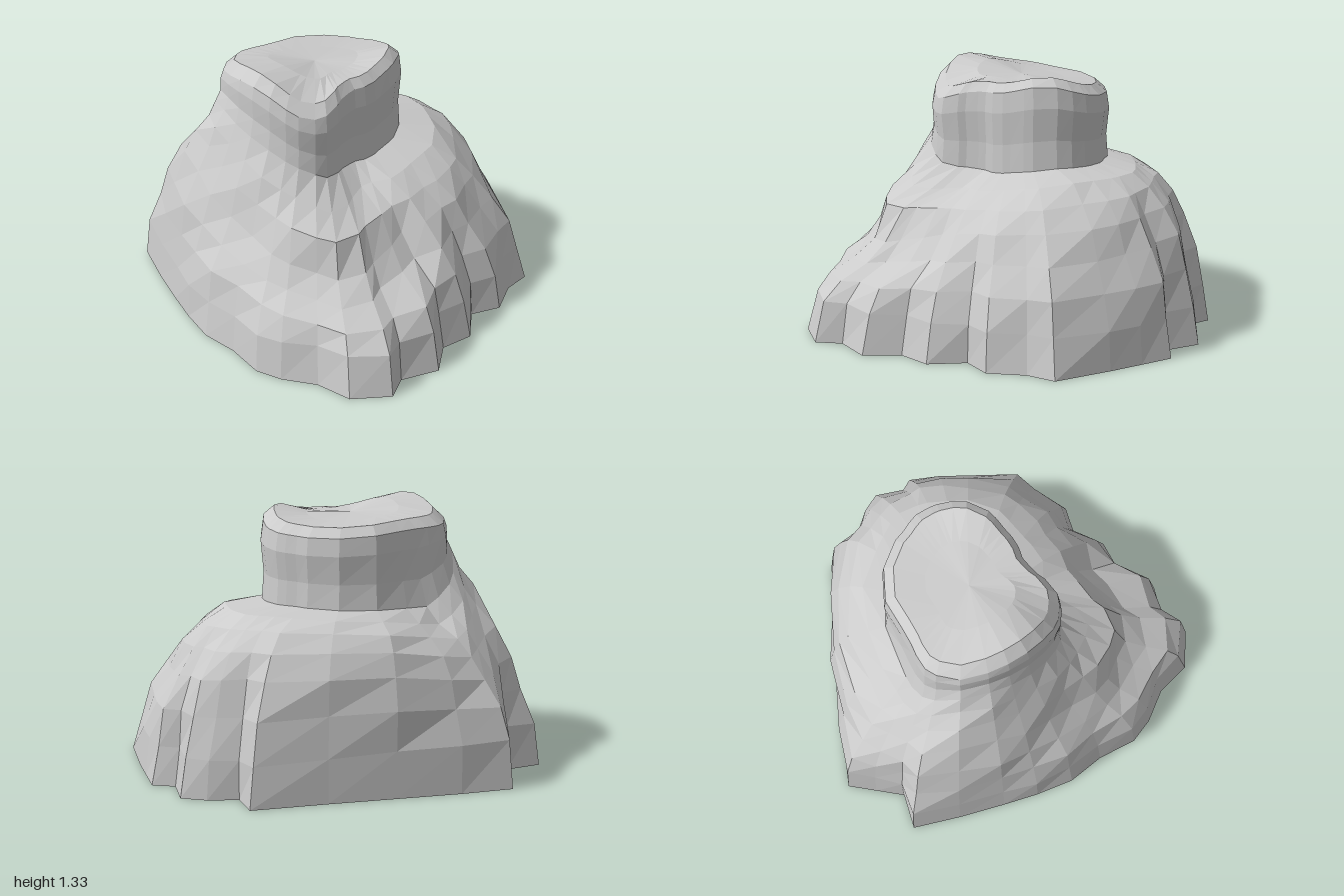
import * as THREE from 'three';

const CX = -0.1, CZ = -0.2, TAU = Math.PI * 2;

// Ground outline (x, z), from +x round past the front
const FOOT = [
  [0.98, -0.2], [1, 0.1], [0.88, 0.19], [0.78, 0.36], [0.62, 0.39], [0.56, 0.58], [0.4, 0.65],
  [0.33, 0.83], [0.13, 0.87], [0.06, 0.99], [-0.15, 0.97], [-0.28, 0.83], [-0.45, 0.75],
  [-0.56, 0.66], [-0.65, 0.47], [-0.77, 0.31], [-0.84, 0.12], [-0.89, -0.06], [-0.95, -0.3],
  [-1, -0.55], [-0.82, -0.6], [-0.79, -0.75], [-0.76, -0.9], [-0.5, -0.93], [-0.18, -0.95],
  [0.15, -0.97], [0.52, -1], [0.55, -0.84], [0.7, -0.82], [0.82, -0.77], [0.83, -0.59],
  [0.94, -0.55], [0.96, -0.38],
];

// Radius of the upper column every 15 degrees
const NECK = [
  0.45, 0.41, 0.36, 0.34, 0.31, 0.33, 0.43, 0.46, 0.46, 0.45, 0.45, 0.45,
  0.47, 0.48, 0.46, 0.4, 0.38, 0.41, 0.42, 0.44, 0.46, 0.46, 0.49, 0.48,
];

// Slope profiles every 45 degrees: [fraction from foot to column, height]
const SLOPE = [
  [[0, 0.01], [0.05, 0.2], [0.12, 0.37], [0.26, 0.51], [0.38, 0.65], [0.52, 0.75], [0.7, 0.83], [1, 0.86]],
  [[0, 0.01], [0.06, 0.2], [0.14, 0.35], [0.26, 0.48], [0.39, 0.6], [0.54, 0.69], [0.74, 0.76], [1, 0.81]],
  [[0, 0.01], [0.06, 0.22], [0.15, 0.3], [0.32, 0.36], [0.45, 0.45], [0.55, 0.63], [0.77, 0.71], [1, 0.82]],
  [[0, 0.01], [0.07, 0.2], [0.18, 0.37], [0.36, 0.47], [0.55, 0.59], [0.69, 0.74], [0.82, 0.88], [0.95, 1.0]],
  [[0, 0.01], [0.07, 0.2], [0.17, 0.4], [0.27, 0.6], [0.47, 0.8], [0.66, 0.93], [0.8, 1.02], [0.91, 1.1]],
  [[0, 0.01], [0.02, 0.25], [0.11, 0.4], [0.23, 0.52], [0.38, 0.62], [0.54, 0.7], [0.71, 0.76], [0.87, 0.84]],
  [[0, 0.01], [0.03, 0.24], [0.08, 0.44], [0.16, 0.6], [0.29, 0.71], [0.48, 0.78], [0.73, 0.82], [0.97, 0.85]],
  [[0, 0.01], [0.04, 0.2], [0.1, 0.4], [0.18, 0.58], [0.3, 0.7], [0.45, 0.79], [0.65, 0.84], [1, 0.86]],
];

const lerp = THREE.MathUtils.lerp;
const bump = (x, z, px, pz, r) => Math.exp(-((x - px) ** 2 + (z - pz) ** 2) / (r * r));
const reach = i => {
  const [x, z] = FOOT[(i + FOOT.length) % FOOT.length];
  return Math.hypot(x - CX, z - CZ);
};

// Interpolates a closed list of values by angle
function around(angle, n, value) {
  const t = ((angle / TAU + 1) % 1) * n, i = Math.floor(t);
  return lerp(value(i % n), value((i + 1) % n), t - i);
}

// Height of the uneven summit, dropping off at the front
function summit(x, z) {
  return 1.26 + 0.08 * bump(x, z, -0.4, -0.02, 0.25) + 0.06 * bump(x, z, 0.32, -0.15, 0.18)
    - 0.02 * bump(x, z, 0.1, -0.6, 0.3) - 0.07 * bump(x, z, -0.2, 0.24, 0.16);
}

// One vertical line of points, running from the ground up to the summit
function buildRib([fx, fz], i) {
  const a = Math.atan2(fz - CZ, fx - CX);
  const r = around(a, NECK.length, j => NECK[j]);
  const foot = reach(i);
  const smoothFoot = (reach(i - 2) + 2 * reach(i - 1) + 2 * foot + 2 * reach(i + 1) + reach(i + 2)) / 8;
  const point = (rad, y) => new THREE.Vector3(CX + Math.cos(a) * rad, y, CZ + Math.sin(a) * rad);

  // Buttresses at the foot fade out up the slope; the front is hollowed beside the bulge
  const slope = SLOPE[0].map((_, k) => {
    const f = around(a, 8, j => SLOPE[j][k][0]);
    const y = around(a, 8, j => SLOPE[j][k][1]);
    const rough = k > 0 && k < 7 ? 0.01 * Math.sin(a * 9 + k * 2.1) : 0;
    const hollow = k > 2 && k < 7 ? 0.07 * Math.exp(-(((a - 1.17) / 0.26) ** 2)) : 0;
    return point(lerp(lerp(foot, smoothFoot, Math.min(1, k / 7)), r, f) + rough - hollow, y);
  });

  // The column flares into the slope where its base is wider than its rim
  const base = slope[7];
  const baseR = Math.hypot(base.x - CX, base.z - CZ);
  const rim = point(r, 0);
  const top = summit(rim.x, rim.z) - 0.045;
  const column = [
    base,
    point(lerp(baseR, r, 0.5) * 0.98, lerp(base.y, top, 0.35)),
    point(r * 1.01, lerp(base.y, top, 0.75)),
    point(r * 0.98, top),
  ];

  const crown = [column[3]];
  for (const s of [0.86, 0.5, 0]) {
    const p = point(r * s, 0);
    p.y = summit(p.x, p.z);
    crown.push(p);
  }
  return { slope, column, crown };
}

// Skins neighbouring ribs with faceted quads
function skin(ribs, part, material) {
  const pos = [];
  const tri = (...pts) => pts.forEach(p => pos.push(p.x, p.y, p.z));
  ribs.forEach((rib, i) => {
    const a = rib[part], b = ribs[(i + 1) % ribs.length][part];
    for (let k = 0; k < a.length - 1; k++) {
      tri(a[k], a[k + 1], b[k]);
      if (a[k + 1].distanceTo(b[k + 1]) > 1e-5) tri(b[k], a[k + 1], b[k + 1]);
    }
  });
  const geo = new THREE.BufferGeometry();
  geo.setAttribute('position', new THREE.Float32BufferAttribute(pos, 3));
  geo.computeVertexNormals();
  const mesh = new THREE.Mesh(geo, material);
  mesh.name = { slope: 'rockSlopes', column: 'rockColumn', crown: 'rockSummit' }[part];
  return mesh;
}

export function createModel() {
  const group = new THREE.Group();
  group.name = 'rock';
  // Hollow shell, open underneath
  const material = new THREE.MeshStandardMaterial({ color: 0xcccccc, flatShading: true, side: THREE.DoubleSide });
  const ribs = FOOT.map(buildRib);
  for (const part of ['slope', 'column', 'crown']) group.add(skin(ribs, part, material));
  return group;
}
